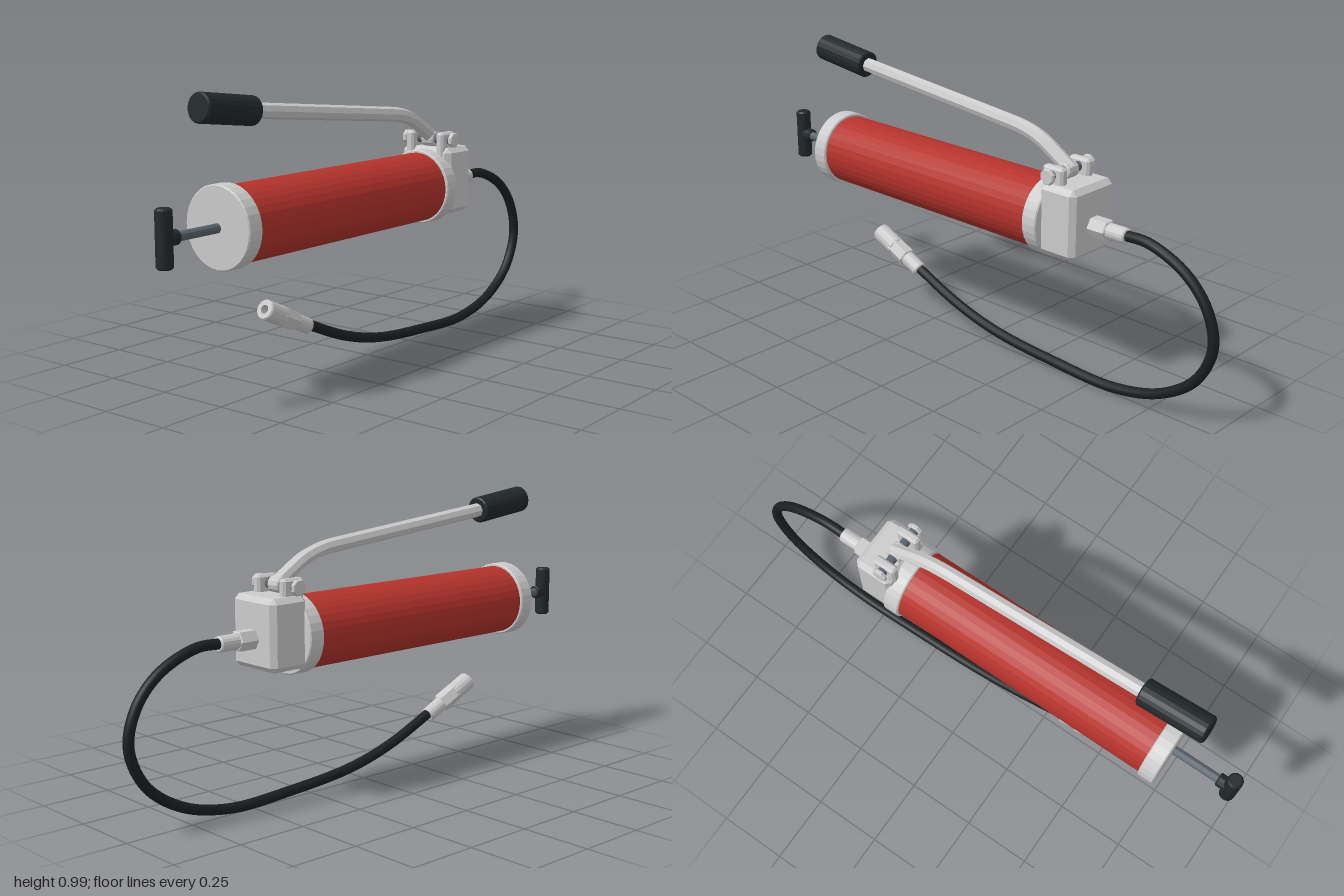
import * as THREE from 'three';
import { ConvexGeometry } from 'three/addons/geometries/ConvexGeometry.js';

const V = (x, y, z = 0) => new THREE.Vector3(x, y, z);
const mat = (color, flatShading = true) => new THREE.MeshStandardMaterial({ color, flatShading });

export function createModel() {
  const root = new THREE.Group();
  const metal = mat(0xcccccc), steel = mat(0x5c646d), red = mat(0xb5332c);
  const black = mat(0x22282b), rubber = mat(0x1b1f21, false);

  const add = (name, geometry, material) => {
    const mesh = new THREE.Mesh(geometry, material);
    mesh.name = name;
    root.add(mesh);
    return mesh;
  };

  // Turned part: profile of [radius, distance along axis], from point a towards b
  const turned = (name, a, b, profile, sides, material, phase = 0) => {
    const pts = profile.map(([r, d]) => new THREE.Vector2(r, d));
    const mesh = add(name, new THREE.LatheGeometry(pts, sides, phase), material);
    mesh.position.copy(a);
    mesh.quaternion.setFromUnitVectors(V(0, 1, 0), b.clone().sub(a).normalize());
    return mesh;
  };

  // Solid rod between two points with chamfered ends
  const rod = (name, a, b, r, sides, material, c = 0.004, phase = 0) => {
    const l = a.distanceTo(b);
    return turned(name, a, b, [[0, 0], [r - c, 0], [r, c], [r, l - c], [r - c, l], [0, l]], sides, material, phase);
  };

  // Box with every edge chamfered by c
  const chamferBox = (name, min, max, c, material) => {
    const h = max.clone().sub(min).multiplyScalar(0.5), pts = [];
    for (const x of [-1, 1]) for (const y of [-1, 1]) for (const z of [-1, 1]) {
      pts.push(V(x * h.x, y * (h.y - c), z * (h.z - c)));
      pts.push(V(x * (h.x - c), y * h.y, z * (h.z - c)));
      pts.push(V(x * (h.x - c), y * (h.y - c), z * h.z));
    }
    const mesh = add(name, new ConvexGeometry(pts), material);
    mesh.position.copy(min).add(max).multiplyScalar(0.5);
    return mesh;
  };

  // Barrel, end caps and neck
  const axis = 0.573;
  rod('barrel', V(-0.70, axis), V(0.31, axis), 0.126, 32, red, 0.001);
  rod('rearCap', V(-0.75, axis), V(-0.69, axis), 0.136, 32, metal);
  rod('frontCap', V(0.30, axis), V(0.36, axis), 0.136, 32, metal);

  // Plunger rod with T-handle
  rod('plungerRod', V(-0.96, axis), V(-0.74, axis), 0.016, 12, steel, 0.001);
  rod('plungerCollar', V(-0.975, axis), V(-0.922, axis), 0.025, 12, black);
  rod('plungerHandle', V(-0.973, 0.482), V(-0.973, 0.666), 0.027, 16, black, 0.006);

  // Pump head
  chamferBox('pumpHead', V(0.345, 0.473, -0.107), V(0.495, 0.716, 0.107), 0.018, metal);

  // Lever bracket: two ears, pin and bolt heads
  const pivot = V(0.383, 0.744);
  for (const s of [-1, 1]) {
    const side = s < 0 ? 'right' : 'left';
    chamferBox(side + 'BracketEar', V(0.34, 0.66, s * 0.066 - 0.016), V(0.426, 0.772, s * 0.066 + 0.016), 0.008, metal);
    rod(side + 'BoltHead', V(pivot.x, pivot.y, s * 0.094), V(pivot.x, pivot.y, s * 0.11), 0.028, 8, metal, 0.003, Math.PI / 8);
  }
  rod('pivotPin', V(pivot.x, pivot.y, -0.1), V(pivot.x, pivot.y, 0.1), 0.017, 12, steel, 0.001);

  // Bent pump lever and its grip
  const path = new THREE.CurvePath();
  const bend = [V(0.395, 0.745), V(0.30, 0.805), V(0.24, 0.842), V(0.15, 0.852), V(-0.62, 0.925)];
  path.add(new THREE.LineCurve3(bend[0], bend[1]));
  path.add(new THREE.QuadraticBezierCurve3(bend[1], bend[2], bend[3]));
  path.add(new THREE.LineCurve3(bend[3], bend[4]));
  add('lever', new THREE.TubeGeometry(path, 48, 0.026, 8), metal);
  rod('leverEye', V(pivot.x, pivot.y, -0.026), V(pivot.x, pivot.y, 0.026), 0.028, 12, metal);
  rod('leverGrip', V(-0.582, 0.921), V(-0.822, 0.949), 0.048, 20, black, 0.005);

  // Outlet fitting
  rod('outletNut', V(0.485, 0.577), V(0.562, 0.577), 0.036, 6, metal, 0.004);
  rod('outletFerrule', V(0.555, 0.577), V(0.634, 0.577), 0.027, 16, metal);

  // Flexible hose
  const hose = new THREE.CatmullRomCurve3([
    V(0.61, 0.578), V(0.72, 0.577), V(0.865, 0.515), V(0.95, 0.42), V(0.98, 0.30), V(0.925, 0.17),
    V(0.79, 0.072), V(0.60, 0.024), V(0.33, 0.029), V(0.065, 0.053), V(-0.125, 0.1), V(-0.36, 0.196),
  ]);
  add('hose', new THREE.TubeGeometry(hose, 120, 0.018, 12), rubber);

  // Coupler at the hose end, with an open bore
  const start = V(-0.325, 0.176), tip = V(-0.541, 0.276);
  const length = start.distanceTo(tip);
  const along = (d) => start.clone().lerp(tip, d / length);
  rod('couplerFerrule', start, along(0.09), 0.027, 16, metal);
  rod('couplerNut', along(0.075), along(0.16), 0.035, 6, metal);
  turned('couplerNose', along(0.14), tip, [
    [0, 0], [0.03, 0], [0.034, 0.005], [0.034, length - 0.145], [0.03, length - 0.14],
    [0.015, length - 0.14], [0.015, length - 0.18], [0, length - 0.18],
  ], 16, metal);

  return root;
}
